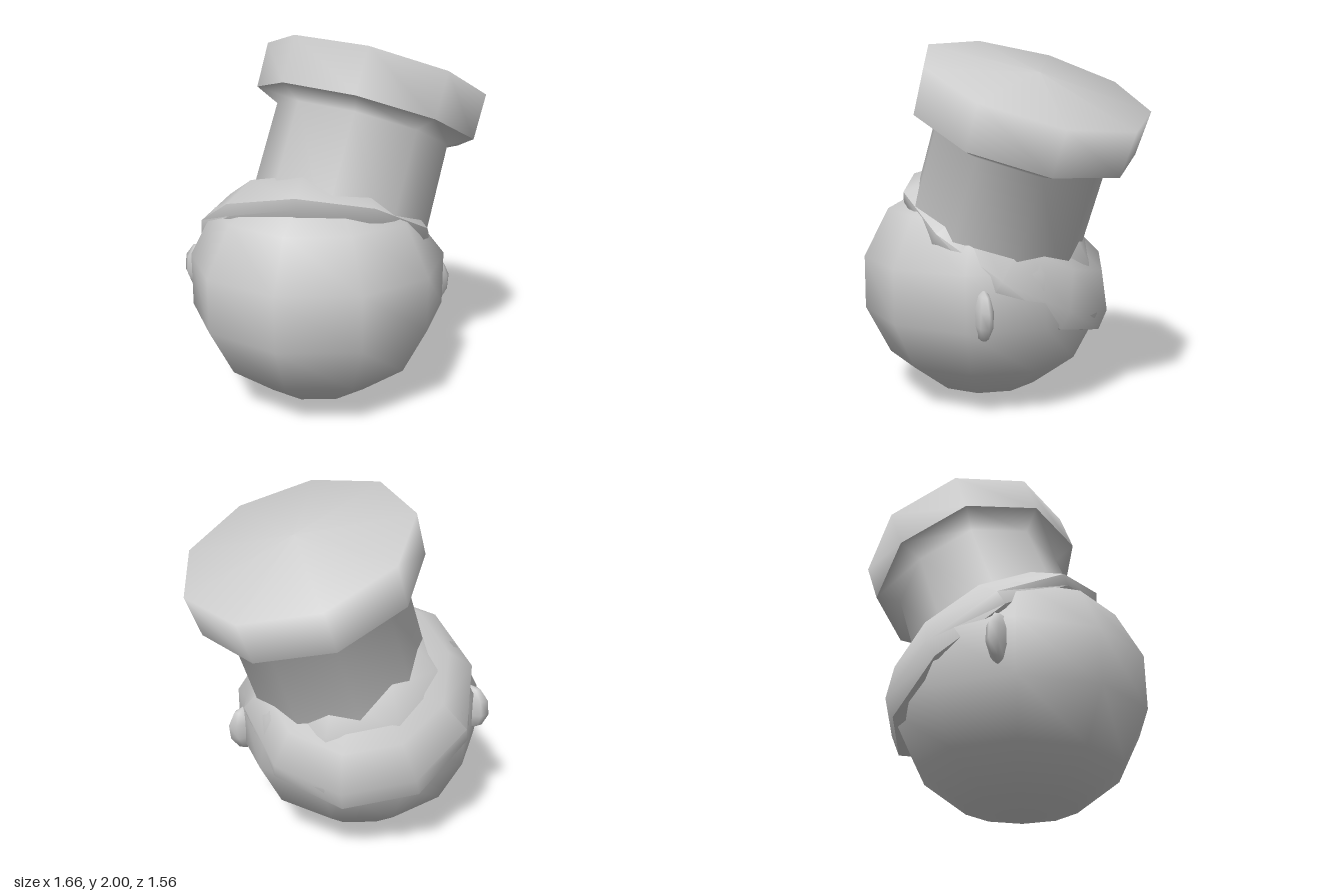
import * as THREE from 'three';
import { toCreasedNormals } from 'three/addons/utils/BufferGeometryUtils.js';

const material = new THREE.MeshStandardMaterial({ color: 0xcccccc, side: THREE.DoubleSide });
const UP = new THREE.Vector3(0, 1, 0);
const HAIR_AXIS = new THREE.Vector3(0.11, 1, -0.62).normalize();
const HAT_AXIS = new THREE.Vector3(0.28, 1, -0.31).normalize();

function addPart(parent, name, geometry, position = [0, 0, 0]) {
  const mesh = new THREE.Mesh(geometry, material);
  mesh.name = name;
  mesh.position.set(...position);
  parent.add(mesh);
  return mesh;
}

// Turned shape with few sides: profile of [radius, height] from bottom to top
function turned(profile, sides, start) {
  return new THREE.LatheGeometry(profile.map(([r, y]) => new THREE.Vector2(r, y)), sides, start);
}

// Ball that is drawn in a little where the hair covers it
function headGeometry() {
  const geometry = new THREE.SphereGeometry(1, 10, 7).scale(0.715, 0.66, 0.7);
  const p = geometry.attributes.position;
  const v = new THREE.Vector3();
  for (let i = 0; i < p.count; i++) {
    v.fromBufferAttribute(p, i);
    if (v.dot(HAIR_AXIS) > 0.3) p.setXYZ(i, ...v.multiplyScalar(0.92).toArray());
  }
  return geometry;
}

// Cap of hair whose lower edge is a thin lip at the front and reaches down at the back
function hairGeometry() {
  const geometry = turned([[0.55, -0.25], [0.68, -0.12], [0.685, 0], [0.54, 0.17], [0, 0.28]], 10, 0.42);
  const p = geometry.attributes.position;
  for (let i = 0; i < p.count; i++) {
    const [x, y, z] = [p.getX(i), p.getY(i), p.getZ(i)];
    const s = 1 - 0.06 * z;
    if (y < 0) p.setXYZ(i, x * s, y * (0.7 - 0.45 * z), z * s);
  }
  return toCreasedNormals(geometry, 0.9);
}

export function createModel() {
  const model = new THREE.Group();

  // Round head
  addPart(model, 'head', headGeometry(), [-0.07, 0.665, 0.12]);

  // Hair sloping down to the back of the head
  const hair = addPart(model, 'hair', hairGeometry(), [-0.065, 0.88, -0.015]);
  hair.quaternion.setFromUnitVectors(UP, HAIR_AXIS);
  hair.scale.x = 0.96;

  // Hat: straight column flaring under a wide, softly domed crown
  const hat = new THREE.Group();
  hat.name = 'hat';
  hat.position.set(0.23, 1.645, -0.165);
  hat.quaternion.setFromUnitVectors(UP, HAT_AXIS);
  model.add(hat);
  const turn = Math.PI / 6;
  addPart(hat, 'hatColumn', turned([[0.5, -0.82], [0.49, -0.18], [0.62, -0.12]], 9, turn));
  addPart(hat, 'hatCrown', turned([[0.62, -0.12], [0.625, 0.13], [0, 0.19]], 9, turn));

  // Small flat ears, the head leaning a little to its left
  for (const [name, side, y, x] of [['leftEar', 1, 0.605, 0.575], ['rightEar', -1, 0.715, -0.715]]) {
    const ear = addPart(model, name, new THREE.SphereGeometry(1, 8, 5), [x, y, 0.045]);
    ear.scale.set(0.12, 0.14, 0.05);
    ear.rotation.set(0, side * 0.45, -0.1);
  }

  return model;
}
